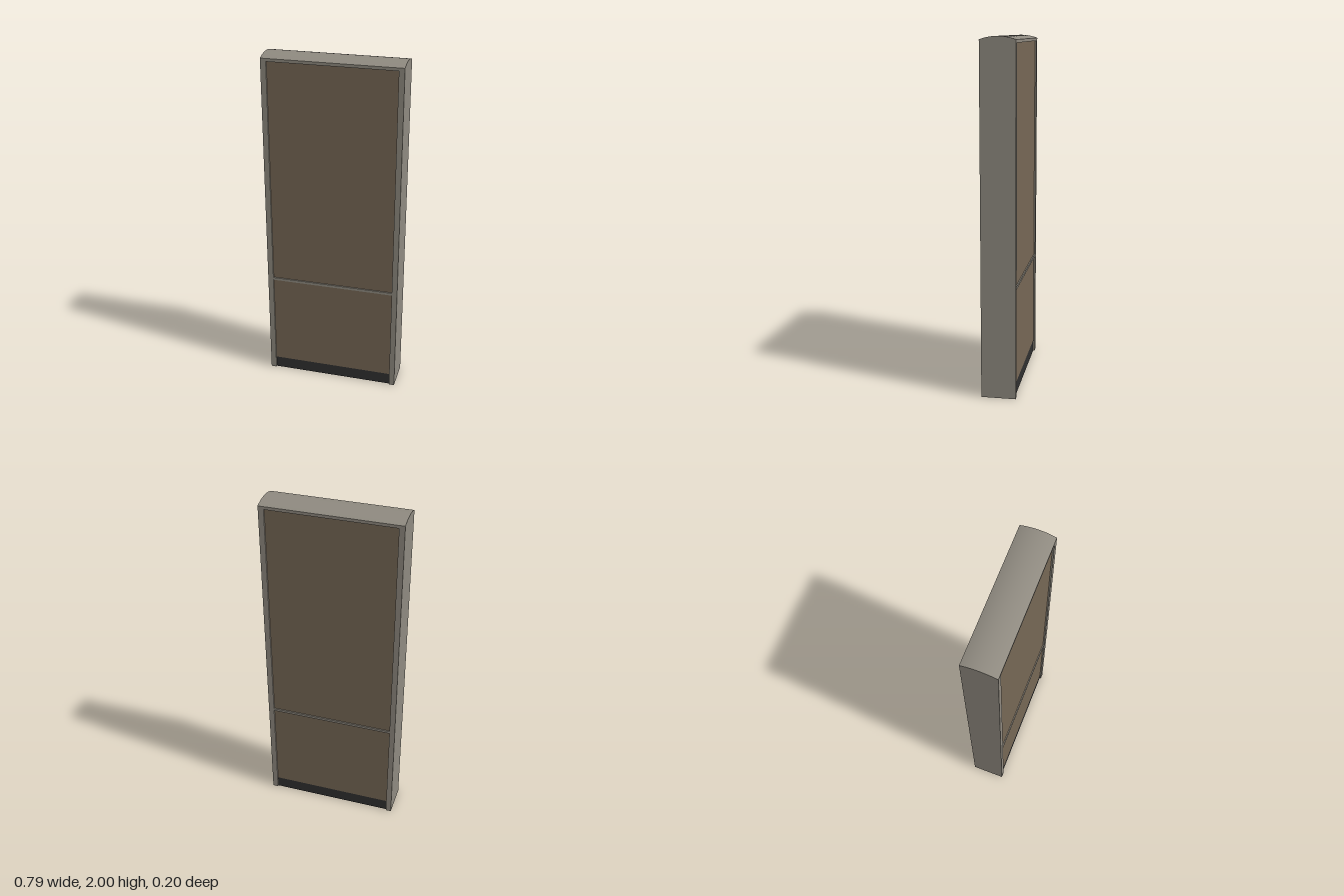
import * as THREE from 'three';

const W = 0.395, IN = 0.363, D = 0.098, SHOULDER = 1.982, TOP = 2;

const frameMat = new THREE.MeshStandardMaterial({ color: 0x8f8a80 });
const panelMat = new THREE.MeshStandardMaterial({ color: 0x766755 });
const baseMat = new THREE.MeshStandardMaterial({ color: 0x303030 });

function box(parent, name, mat, x0, x1, y0, y1, halfDepth) {
  const mesh = new THREE.Mesh(new THREE.BoxGeometry(x1 - x0, y1 - y0, halfDepth * 2), mat);
  mesh.position.set((x0 + x1) / 2, (y0 + y1) / 2, 0);
  mesh.name = name;
  parent.add(mesh);
}

// Upright with a C-shaped section, open towards the middle
function post(side) {
  const wall = 0.012, lip = 0.01;
  const s = new THREE.Shape([
    [W, -D], [W, D], [IN, D], [IN, D - lip],
    [W - wall, D - lip], [W - wall, -D + lip], [IN, -D + lip], [IN, -D],
  ].map(([x, z]) => new THREE.Vector2(x, z)));
  const geo = new THREE.ExtrudeGeometry(s, { depth: 1.965, bevelEnabled: false });
  geo.rotateX(-Math.PI / 2);
  const mesh = new THREE.Mesh(geo, frameMat);
  if (side < 0) mesh.rotation.y = Math.PI;
  mesh.name = side > 0 ? 'leftPost' : 'rightPost';
  return mesh;
}

// Top rail with a gently arched upper face
function cap() {
  const rise = TOP - SHOULDER;
  const r = (D * D + rise * rise) / (2 * rise);
  const a = Math.asin(D / r);
  const s = new THREE.Shape();
  s.moveTo(-D, 1.965);
  s.lineTo(D, 1.965);
  s.lineTo(D, SHOULDER);
  s.absarc(0, TOP - r, r, Math.PI / 2 - a, Math.PI / 2 + a, false);
  s.closePath();
  const geo = new THREE.ExtrudeGeometry(s, { depth: W * 2, bevelEnabled: false, curveSegments: 24 });
  geo.translate(0, 0, -W);
  geo.rotateY(Math.PI / 2);
  // Smooth normals along the arch only
  const p = geo.attributes.position, n = geo.attributes.normal;
  for (let i = 0; i < p.count; i++) {
    if (n.getY(i) > 0.5) {
      n.setXYZ(i, 0, (p.getY(i) - TOP + r) / r, p.getZ(i) / r);
    }
  }
  const mesh = new THREE.Mesh(geo, frameMat);
  mesh.name = 'archedTop';
  return mesh;
}

export function createModel() {
  const g = new THREE.Group();
  g.name = 'freestandingPanel';

  // Frame
  g.add(post(1), post(-1), cap());
  box(g, 'crossRail', frameMat, -IN, IN, 0.628, 0.643, D - 0.002);

  // Infill panels, slightly recessed on both faces
  box(g, 'upperPanel', panelMat, -IN, IN, 0.643, 1.965, D - 0.009);
  box(g, 'lowerPanel', panelMat, -IN, IN, 0.07, 0.628, D - 0.009);

  // Dark plinth
  box(g, 'plinth', baseMat, -IN, IN, 0, 0.07, D - 0.009);
  return g;
}
